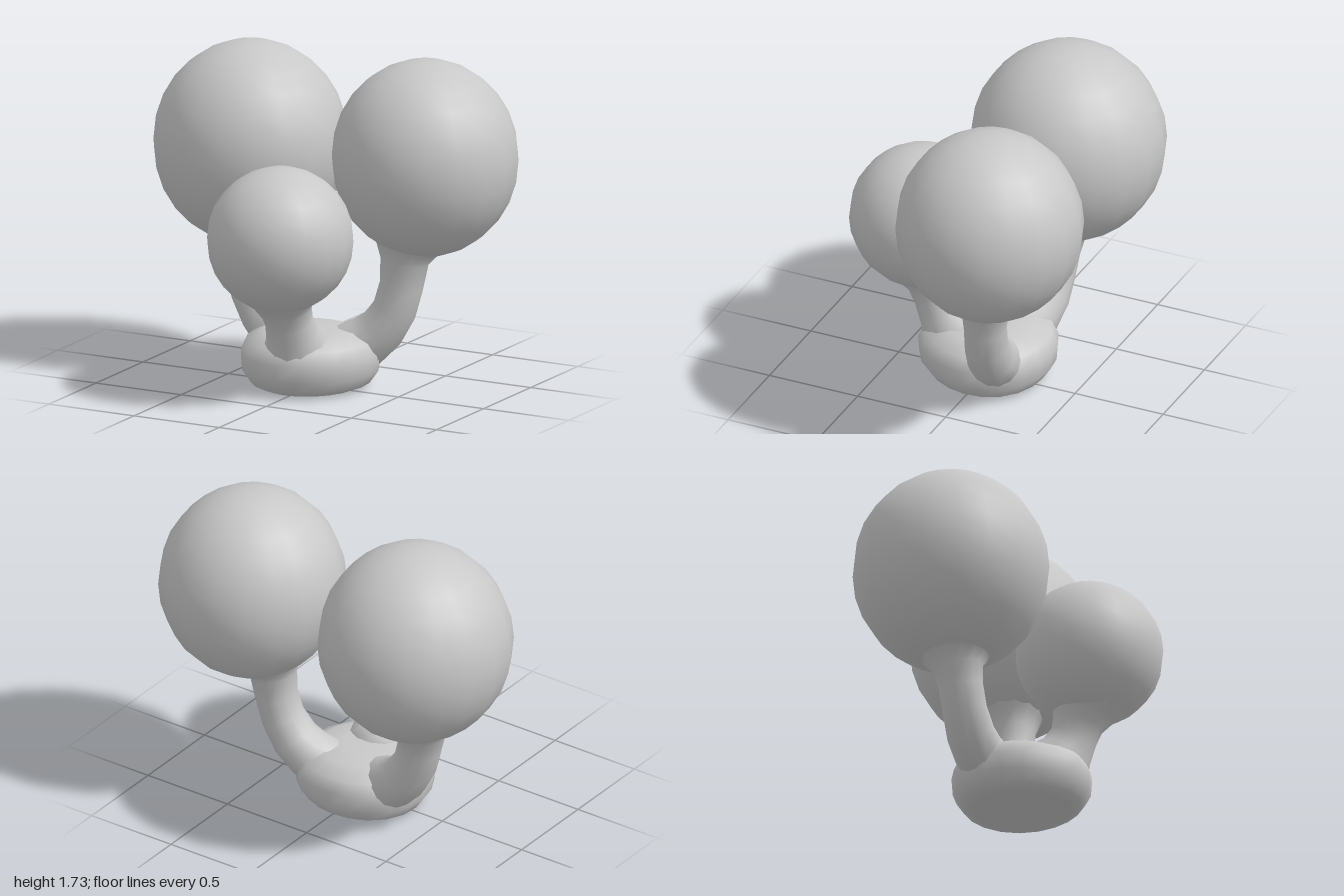
import * as THREE from 'three';

// Lofts round rings [x, y, z, radius] along a path; lobe adds a soft three-way bulge
function loft(rings, sides, lobe = 0) {
  const pts = rings.map(r => new THREE.Vector3(r[0], r[1], r[2]));
  const zAxis = new THREE.Vector3(0, 0, 1);
  const pos = [], index = [];
  pts.forEach((p, i) => {
    const t = pts[Math.min(i + 1, pts.length - 1)].clone().sub(pts[Math.max(i - 1, 0)]).normalize();
    const u = new THREE.Vector3().crossVectors(t, zAxis).normalize();
    const v = new THREE.Vector3().crossVectors(u, t);
    for (let j = 0; j < sides; j++) {
      const a = j / sides * Math.PI * 2;
      const r = rings[i][3] * (1 + lobe * Math.cos(3 * (a - Math.PI / 2)));
      const q = p.clone().addScaledVector(u, r * Math.cos(a)).addScaledVector(v, r * Math.sin(a));
      pos.push(q.x, q.y, q.z);
      if (i < pts.length - 1) {
        const k = (j + 1) % sides, b = i * sides, c = b + sides;
        index.push(b + j, c + j, b + k, b + k, c + j, c + k);
      }
    }
  });
  const g = new THREE.BufferGeometry();
  g.setAttribute('position', new THREE.Float32BufferAttribute(pos, 3));
  g.setIndex(index);
  g.computeVertexNormals();
  return g;
}

export function createModel() {
  const model = new THREE.Group();
  const grey = new THREE.MeshStandardMaterial({ color: 0xc8c8c8 });
  grey.name = 'plain grey';

  const add = (name, geometry) => {
    const mesh = new THREE.Mesh(geometry, grey);
    mesh.name = name;
    model.add(mesh);
    return mesh;
  };

  // Three round heads: centre, then radii
  const heads = [
    ['rightHead', [-0.495, 1.183, -0.23], [0.505, 0.535, 0.51]],
    ['leftHead', [0.515, 1.215, -0.257], [0.485, 0.515, 0.488]],
    ['frontHead', [0.005, 0.855, 0.36], [0.38, 0.38, 0.383]],
  ];
  for (const [name, centre, radii] of heads) {
    const head = add(name, new THREE.SphereGeometry(1, 18, 14));
    head.position.set(...centre);
    head.scale.set(...radii);
  }

  // Bent stems that grow out of the base and flare into the heads
  add('rightStem', loft([
    [-0.06, 0.17, -0.05, 0.09], [-0.2, 0.185, -0.1, 0.135], [-0.3, 0.235, -0.14, 0.135],
    [-0.38, 0.305, -0.16, 0.125], [-0.45, 0.41, -0.17, 0.115], [-0.485, 0.53, -0.18, 0.115],
    [-0.5, 0.63, -0.19, 0.13], [-0.5, 0.69, -0.2, 0.18], [-0.5, 0.74, -0.2, 0.25],
  ], 14));
  add('leftStem', loft([
    [0.02, 0.17, -0.06, 0.09], [0.13, 0.18, -0.11, 0.135], [0.23, 0.23, -0.15, 0.135],
    [0.31, 0.3, -0.165, 0.125], [0.38, 0.41, -0.175, 0.115], [0.415, 0.54, -0.185, 0.113],
    [0.43, 0.67, -0.19, 0.125], [0.44, 0.73, -0.2, 0.16], [0.45, 0.8, -0.21, 0.22],
  ], 14));
  add('frontStem', loft([
    [0, 0.14, 0.11, 0.16], [0, 0.21, 0.165, 0.19], [0.005, 0.265, 0.2, 0.17],
    [0.01, 0.32, 0.235, 0.14], [0.01, 0.4, 0.275, 0.125], [0.005, 0.47, 0.3, 0.135],
    [0.005, 0.53, 0.32, 0.17], [0.005, 0.6, 0.34, 0.24],
  ], 14));

  // Soft, flat-bottomed base joining the stems
  const profile = [
    [0, 0], [0.25, 0], [0.31, 0.025], [0.355, 0.09], [0.362, 0.18],
    [0.33, 0.25], [0.24, 0.295], [0.12, 0.305], [0, 0.305],
  ];
  add('base', loft(profile.map(([r, y]) => [-0.025, y, 0, r]), 20, 0.025));

  return model;
}
